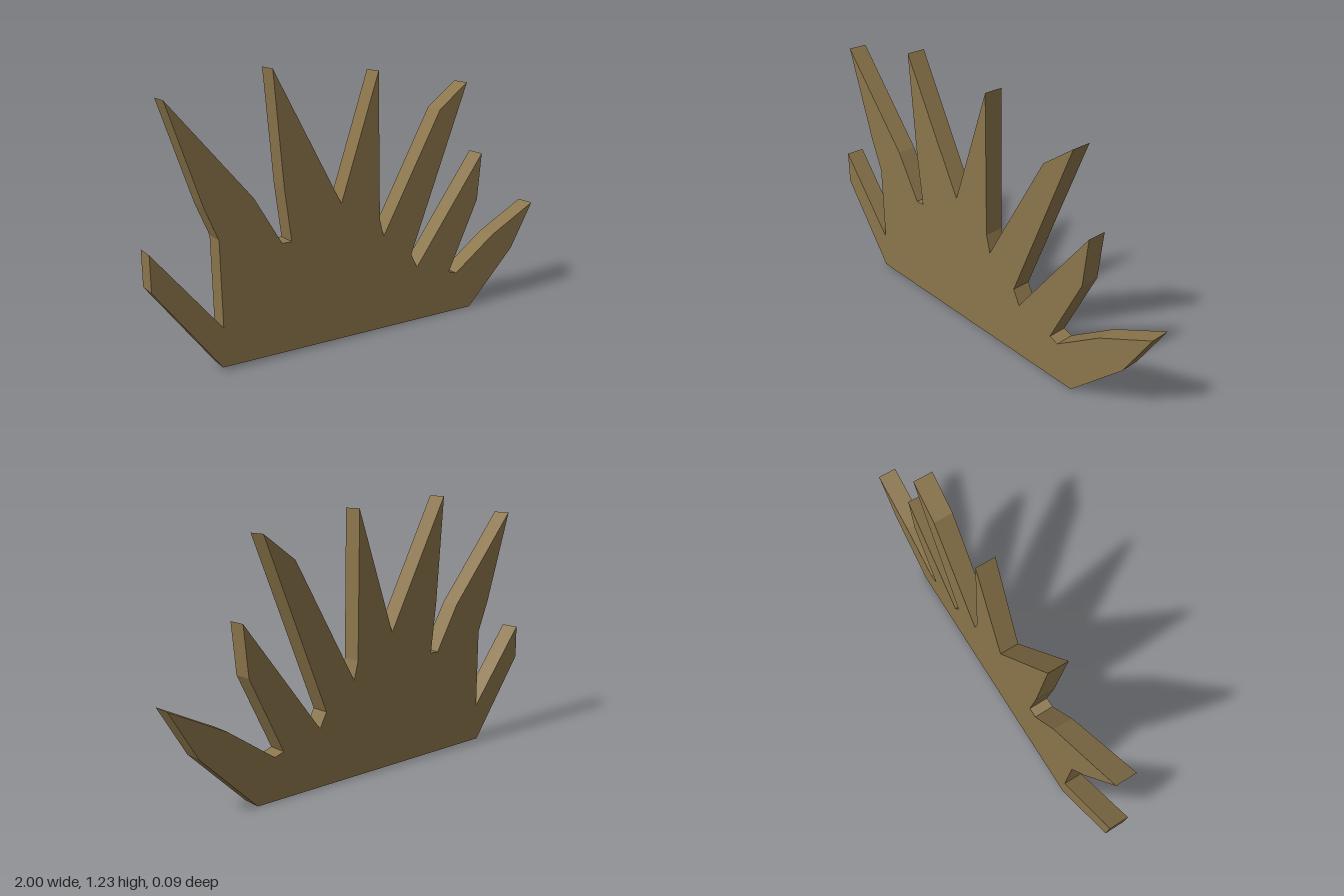
import * as THREE from 'three';

const DEPTH = 0.09;

export function createModel() {
  const dryGrass = new THREE.MeshStandardMaterial({ color: 0x8b754b });
  dryGrass.name = 'dryGrass';

  // Outline of the tuft, from the lower left corner clockwise, blade by blade
  const outline = [
    [-0.715, 0.017], [-1, 0.4], [-1, 0.555], [-0.705, 0.19],      // low left blade
    [-0.71, 0.565], [-0.77, 0.71], [-0.91, 1.14], [-0.55, 0.715], [-0.425, 0.503], // tall left blade
    [-0.38, 0.503], [-0.41, 0.74], [-0.45, 1.23], [-0.132, 0.632], // tallest blade
    [0.06, 1.19], [0.07, 0.53], [0.092, 0.447],                   // middle blade
    [0.4, 0.995], [0.553, 1.107], [0.248, 0.333], [0.283, 0.265], // tall right blade
    [0.49, 0.54], [0.658, 0.763], [0.637, 0.54], [0.475, 0.205], [0.52, 0.19], // short right blade
    [0.745, 0.345], [1, 0.472], [0.873, 0.257], [0.61, 0],        // low right blade
  ];
  const shape = new THREE.Shape(outline.map(([x, y]) => new THREE.Vector2(x, y)));

  const geometry = new THREE.ExtrudeGeometry(shape, { depth: DEPTH, bevelEnabled: false });
  geometry.translate(0, 0, -DEPTH / 2);

  const tuft = new THREE.Mesh(geometry, dryGrass);
  tuft.name = 'grassTuft';

  const model = new THREE.Group();
  model.name = 'grass';
  model.add(tuft);
  return model;
}
